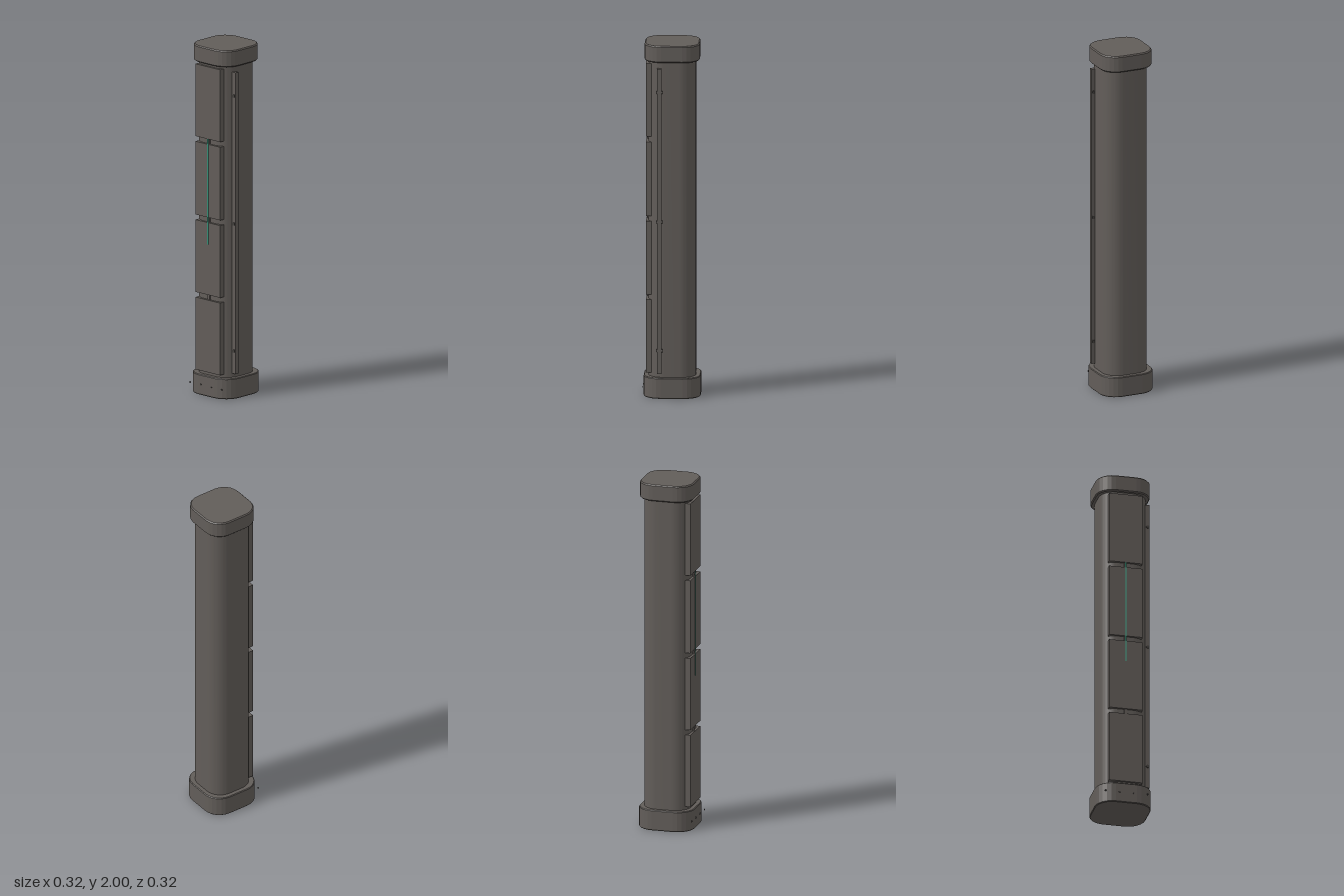
import * as THREE from 'three';
import { toCreasedNormals } from 'three/addons/utils/BufferGeometryUtils.js';

const body = new THREE.MeshStandardMaterial({ name: 'warm dark grey', color: 0x625d59 });
const dark = new THREE.MeshStandardMaterial({ name: 'charcoal', color: 0x45423f });
const green = new THREE.MeshStandardMaterial({ name: 'teal green', color: 0x45b595 });

// Square outline with rounded corners
function roundedSquare(half, r) {
  const s = new THREE.Shape();
  const c = half - r;
  s.moveTo(c, -half);
  for (let i = 0; i < 4; i++) {
    const a = i * Math.PI / 2 - Math.PI / 2;
    const cx = i === 0 || i === 1 ? c : -c;
    const cy = i === 1 || i === 2 ? c : -c;
    s.absarc(cx, cy, r, a, a + Math.PI / 2, false);
  }
  return s;
}

// Upright prism from y0 to y1 with optional edge bevel
function prism(half, r, y0, y1, segments, bevel = 0) {
  const g = new THREE.ExtrudeGeometry(roundedSquare(half - bevel, r - bevel), {
    depth: y1 - y0 - 2 * bevel, curveSegments: segments,
    bevelEnabled: bevel > 0, bevelSize: bevel, bevelThickness: bevel, bevelSegments: 1,
  });
  g.rotateX(-Math.PI / 2);
  g.translate(0, y0 + bevel, -0.002);
  return g;
}

export function createModel() {
  const model = new THREE.Group();
  model.name = 'column';
  const add = (name, geometry, material, x = 0, y = 0, z = 0) => {
    const m = new THREE.Mesh(geometry, material);
    m.name = name;
    m.position.set(x, y, z);
    model.add(m);
    return m;
  };

  // Column body and faceted end caps
  add('shaft', toCreasedNormals(prism(0.132, 0.09, 0.1, 1.92, 8), 0.6), body);
  add('base', prism(0.158, 0.098, 0, 0.117, 3, 0.004), body);
  add('topCap', prism(0.153, 0.095, 1.905, 2, 3, 0.006), body);

  // Four front panels, bridged by short strips
  const bottoms = [0.135, 0.58, 1.025, 1.475];
  const tops = [0.55, 0.995, 1.445, 1.89];
  bottoms.forEach((y, i) => {
    const h = tops[i] - y;
    add('frontPanel', new THREE.BoxGeometry(0.19, h, 0.033), body, 0, y + h / 2, 0.1265);
    if (i > 0) {
      const gap = y - tops[i - 1];
      add('panelBridge', new THREE.BoxGeometry(0.014, gap, 0.012), body, 0, y - gap / 2, 0.13);
    }
  });

  // Thin coloured line down the middle
  add('indicatorLine', new THREE.BoxGeometry(0.008, 0.605, 0.002), green, 0, 1.1725, 0.143);

  // Side rail with three clips
  add('sideRail', new THREE.BoxGeometry(0.04, 1.73, 0.024), body, 0.13, 1.005, 0.066);
  for (const y of [0.27, 1.0, 1.735]) {
    const clip = add('railClip', new THREE.CylinderGeometry(0.009, 0.009, 0.034, 12), dark, 0.139, y, 0.066);
    clip.rotation.x = Math.PI / 2;
  }

  // Row of small studs in front of the base
  for (const x of [-0.12, -0.04, 0.04, 0.12]) {
    const stud = add('baseStud', new THREE.CylinderGeometry(0.005, 0.005, 0.003, 12), dark, x, 0.06, 0.159);
    stud.rotation.x = Math.PI / 2;
  }
  return model;
}
